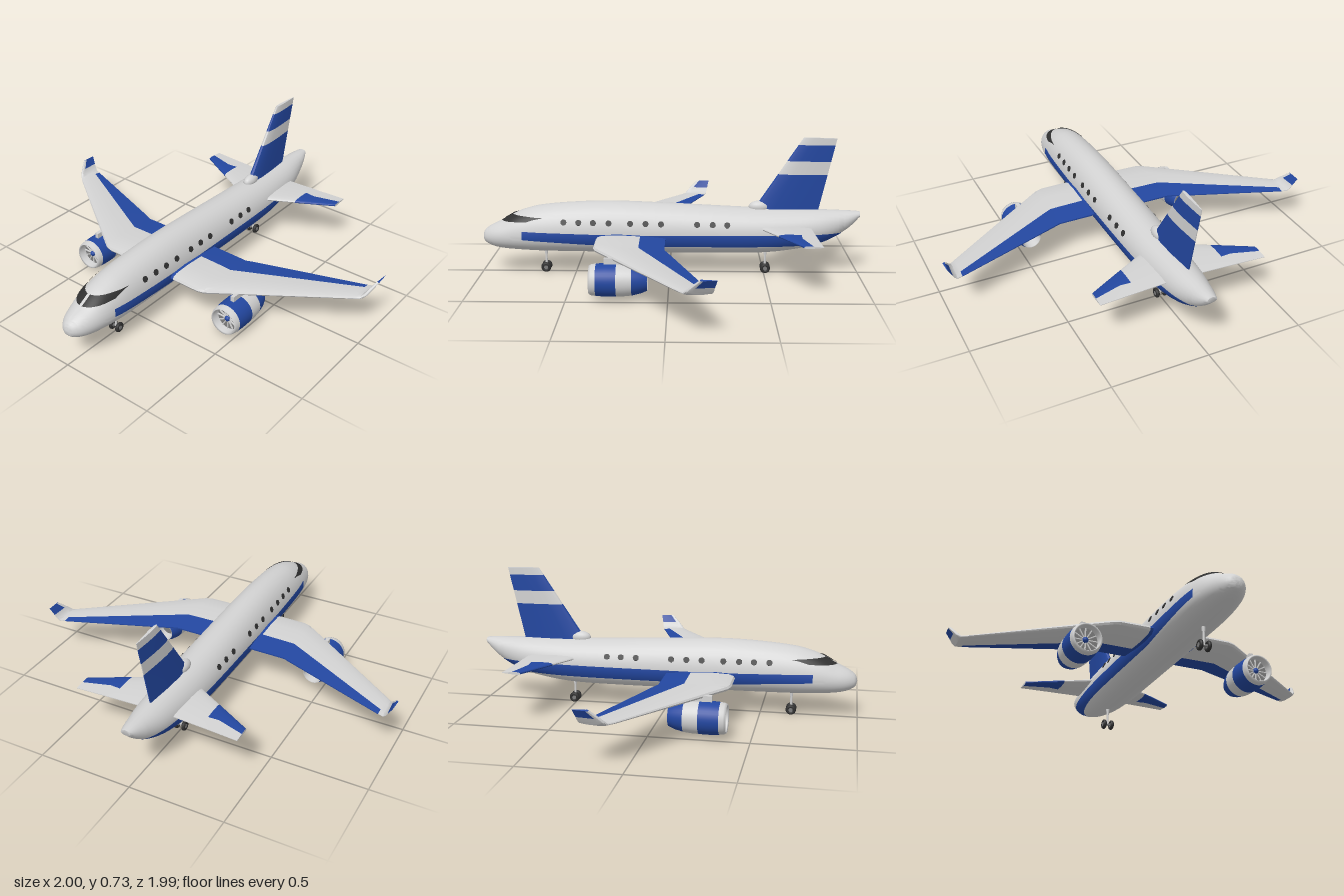
import * as THREE from 'three';
import { toCreasedNormals } from 'three/addons/utils/BufferGeometryUtils.js';

const V = (x, y, z) => new THREE.Vector3(x, y, z);
const paint = (name, color) => Object.assign(new THREE.MeshStandardMaterial({ color }), { name });

// Fuselage stations: z, top, bottom, half width, height of the widest line
const STATIONS = [
  [0.992, 0.196, 0.196, 0, 0.196], [0.985, 0.222, 0.172, 0.027, 0.197], [0.965, 0.243, 0.156, 0.05, 0.198],
  [0.93, 0.263, 0.142, 0.072, 0.2], [0.88, 0.286, 0.133, 0.09, 0.203], [0.82, 0.32, 0.128, 0.103, 0.207],
  [0.77, 0.341, 0.125, 0.11, 0.21], [0.68, 0.364, 0.121, 0.118, 0.215], [0.5, 0.381, 0.118, 0.122, 0.22],
  [0.3, 0.387, 0.116, 0.123, 0.222], [0, 0.376, 0.114, 0.123, 0.222], [-0.3, 0.361, 0.113, 0.122, 0.222],
  [-0.5, 0.353, 0.117, 0.117, 0.225], [-0.65, 0.349, 0.134, 0.106, 0.235], [-0.78, 0.346, 0.163, 0.09, 0.252],
  [-0.88, 0.343, 0.207, 0.066, 0.275], [-0.95, 0.341, 0.258, 0.045, 0.3], [-0.998, 0.337, 0.308, 0.025, 0.322],
];

// Smooth station values at z
function station(z) {
  let i = 0;
  while (i < STATIONS.length - 2 && z < STATIONS[i + 1][0]) i++;
  const a = STATIONS[i], b = STATIONS[i + 1];
  const p = STATIONS[i - 1] || a, n = STATIONS[i + 2] || b;
  const d = b[0] - a[0], t = (z - a[0]) / d;
  return a.map((v, k) => {
    const m0 = (b[k] - p[k]) / (b[0] - p[0]) * d, m1 = (n[k] - a[k]) / (n[0] - a[0]) * d;
    return (2 * t ** 3 - 3 * t * t + 1) * v + (t ** 3 - 2 * t * t + t) * m0
      + (3 * t * t - 2 * t ** 3) * b[k] + (t ** 3 - t * t) * m1;
  });
}

// Angle from the crown at which the hull has height y, and the hull point at an angle
function angleAt(s, y) {
  const h = y > s[4] ? s[1] - s[4] : s[4] - s[2];
  return Math.acos(THREE.MathUtils.clamp((y - s[4]) / Math.max(h, 1e-6), -1, 1));
}
function hull(s, a) {
  const c = Math.cos(a), h = c > 0 ? s[1] - s[4] : s[4] - s[2];
  return V(s[3] * Math.max(0, Math.sin(a)) ** (c > 0 ? 1 : 0.85), s[4] + h * c, s[0]);
}
function hullAt(z, y) {
  const s = station(z);
  return hull(s, angleAt(s, y));
}

// Skin closed loops of points; pick(i, j) gives the material of each panel
function loft(rings, pick, crease = 0.7) {
  const n = rings[0].length, pts = rings.flat(), lists = [[], []];
  const add = (m, a, b, c) => lists[m].push([a, b, c]);
  for (let i = 0; i < rings.length - 1; i++) for (let j = 0; j < n; j++) {
    const a = i * n + j, b = i * n + (j + 1) % n, m = pick(i, j);
    add(m, a, b, b + n);
    add(m, a, b + n, a + n);
  }
  const last = (rings.length - 1) * n;
  for (let j = 1; j < n - 1; j++) {
    add(pick(0, 0), 0, j + 1, j);
    add(pick(rings.length - 2, 4), last, last + j, last + j + 1);
  }
  let volume = 0;
  const cross = V(0, 0, 0);
  for (const [a, b, c] of lists.flat()) volume += pts[a].dot(cross.crossVectors(pts[b], pts[c]));
  const geo = new THREE.BufferGeometry().setFromPoints(pts);
  geo.setIndex(lists.flat().flatMap(([a, b, c]) => (volume < 0 ? [a, c, b] : [a, b, c])));
  geo.addGroup(0, lists[0].length * 3, 0);
  geo.addGroup(lists[0].length * 3, lists[1].length * 3, 1);
  return toCreasedNormals(geo, crease);
}

// Wing section; points 4 to 7 lie behind the split line
function foil(le, te, split, thick, dir) {
  const side = (k) => [[0.03, 0.5], [0.14, 0.85], [0.5, 1], [1, 0.75]]
    .map(([u, h]) => le.clone().lerp(te, u * split).addScaledVector(dir, k * h * thick / 2));
  const end = (k) => te.clone().addScaledVector(dir, k * thick * 0.08);
  return [le.clone(), ...side(1), end(1), end(-1), ...side(-1).reverse()];
}

export function createModel() {
  const model = new THREE.Group();
  model.name = 'airliner';
  const white = paint('body white', 0xd2d2d2), blue = paint('livery blue', 0x2347a0);
  const dark = paint('window and tyre black', 0x303030), metal = paint('fan grey', 0x7c7c7c);
  const glass = paint('windscreen black', 0x303030);
  glass.side = THREE.DoubleSide;
  const livery = [white, blue];
  const put = (name, geo, mat, parent = model) => {
    const mesh = new THREE.Mesh(geo, mat);
    mesh.name = name;
    parent.add(mesh);
    return mesh;
  };

  // Fuselage with the side stripe
  const zs = [];
  STATIONS.forEach((s, i) => {
    const next = STATIONS[i + 1];
    for (let k = 0; k < (next ? 4 : 1); k++) zs.push(next ? s[0] + (next[0] - s[0]) * k / 4 : s[0]);
  });
  const rings = zs.map((z) => {
    const s = station(z), t = THREE.MathUtils.clamp((0.77 - z) / 0.5, 0, 1);
    const stops = [0, angleAt(s, 0.244 - 0.013 * t), angleAt(s, 0.2 - 0.033 * t), Math.PI], half = [];
    [8, 4, 8].forEach((n, k) => {
      for (let q = 0; q < n; q++) half.push(hull(s, stops[k] + (stops[k + 1] - stops[k]) * q / n));
    });
    half.push(V(0, s[2], z));
    return [...half, ...half.slice(1, -1).reverse().map((p) => V(-p.x, p.y, p.z))];
  });
  const striped = (i, j) => (zs[i] <= 0.771 && ((j >= 8 && j < 12) || (j >= 28 && j < 32)) ? 1 : 0);
  put('fuselage', loft(rings, striped, 1), livery);

  // Tail fin with bands, and the fillet at its foot
  const finLevels = [[0.33, 0.044], [0.535, 0.03], [0.605, 0.026], [0.69, 0.02], [0.728, 0.016]];
  const fin = finLevels.map(([y, t]) => foil(V(0, y, -0.47 - (y - 0.39) * 0.662),
    V(0, y - 0.004, -0.78 - (y - 0.345) * 0.227), 0.6, t, V(1, 0, 0)));
  put('tailFin', loft(fin, (i) => (i % 2 ? 0 : 1)), livery);
  put('finFillet', new THREE.SphereGeometry(1, 20, 12).scale(0.03, 0.032, 0.055).translate(0, 0.36, -0.47), white);

  // Wing stations: x, leading z, trailing z, split z, y, thickness, tilt
  const wing = [
    [0, 0.38, 0.02, 0.15, 0.213, 0.05, 0], [0.137, 0.38, 0.02, 0.15, 0.213, 0.048, 0],
    [0.29, 0.38, 0.02, 0.15, 0.212, 0.044, 0], [0.325, 0.369, 0.02, 0.15, 0.211, 0.042, 0],
    [0.36, 0.345, 0.006, 0.132, 0.211, 0.04, 0], [0.92, -0.053, -0.196, -0.163, 0.205, 0.018, 0],
    [0.948, -0.075, -0.206, -0.17, 0.207, 0.018, 0.5], [0.963, -0.09, -0.211, -0.12, 0.222, 0.017, 1.05],
    [0.973, -0.108, -0.215, -0.13, 0.241, 0.016, 1.1], [0.995, -0.15, -0.225, -0.165, 0.28, 0.012, 1.1],
  ];
  const wingPick = (i, j) => {
    const aft = j >= 4 && j <= 6;
    return i === 0 || (i < 5 && aft) || (i === 8 && aft) ? 1 : 0;
  };
  // Tailplane stations: x, leading z, trailing z, split z, thickness
  const tail = [[0, -0.42, -0.73, -0.67, 0.03], [0.245, -0.553, -0.743, -0.67, 0.022],
    [0.3, -0.583, -0.746, -0.666, 0.019], [0.44, -0.66, -0.755, -0.706, 0.014]];

  for (const s of [1, -1]) {
    const label = s > 0 ? 'left' : 'right';
    put(label + 'Wing', loft(wing.map(([x, a, b, c, y, t, r]) => foil(V(s * x, y, a), V(s * x, y, b),
      (c - a) / (b - a), t, V(-s * Math.sin(r), Math.cos(r), 0))), wingPick), livery);
    put(label + 'Tailplane', loft(tail.map(([x, a, b, c, t]) => foil(V(s * x, 0.265, a), V(s * x, 0.265, b),
      (c - a) / (b - a), t, V(0, 1, 0))), (i, j) => (i > 0 && (j < 4 || j > 6) ? 1 : 0)), livery);

    // Cabin windows
    for (const z of [0.55, 0.472, 0.396, 0.315, 0.203, 0.123, 0.043, -0.144, -0.225, -0.3]) {
      const y = 0.289 + 0.012 * z, p = hullAt(z, y);
      const up = hullAt(z, y + 0.01).sub(hullAt(z, y - 0.01)), along = hullAt(z + 0.01, y).sub(hullAt(z - 0.01, y));
      const normal = up.cross(along).normalize();
      if (normal.x < 0) normal.negate();
      for (const v of [p, normal]) v.x *= s;
      const pane = put(label + 'CabinWindow', new THREE.CylinderGeometry(0.016, 0.016, 0.005, 10), dark);
      pane.position.copy(p);
      pane.quaternion.setFromUnitVectors(V(0, 1, 0), normal);
    }

    // Windscreen half, laid on the nose
    const screen = new THREE.PlaneGeometry(1, 1, 16, 5), pos = screen.attributes.position;
    for (let i = 0; i < pos.count; i++) {
      const u = pos.getX(i) + 0.5, x = 0.008 + 0.085 * u;
      const y = 0.3 + pos.getY(i) * (0.034 - 0.012 * u ** 4);
      let lo = 0.5, hi = 0.985;
      for (let k = 0; k < 30; k++) {
        const mid = (lo + hi) / 2;
        if (hullAt(mid, y).x > x) lo = mid; else hi = mid;
      }
      pos.setXYZ(i, s * (x + 0.003 * u), y + 0.003, lo + 0.003);
    }
    screen.computeVertexNormals();
    put(label + 'Windscreen', screen, glass);

    // Engine nacelle in painted bands
    const engine = new THREE.Group();
    engine.name = label + 'Engine';
    engine.position.set(s * 0.457, 0.102, 0);
    model.add(engine);
    const band = (name, mat, pts) => put(name, new THREE.LatheGeometry(
      pts.map(([r, z]) => new THREE.Vector2(r, z)), 36).rotateX(Math.PI / 2), mat, engine);
    band('nacelleRear', blue, [[0.052, 0.1], [0.065, 0.13], [0.076, 0.175]]);
    band('nacelleMiddle', white, [[0.076, 0.175], [0.08, 0.213], [0.0815, 0.25]]);
    band('nacelleFront', blue, [[0.0815, 0.25], [0.082, 0.3], [0.079, 0.35]]);
    band('intakeLip', white, [[0.079, 0.35], [0.076, 0.372], [0.07, 0.384], [0.065, 0.378], [0.062, 0.33]]);
    band('exhaustLining', white, [[0.042, 0.16], [0.048, 0.1], [0.052, 0.1]]);
    const disc = (name, r, z, mat) => put(name,
      new THREE.CylinderGeometry(r, r, 0.01, 32).rotateX(Math.PI / 2).translate(0, 0, z), mat, engine);
    disc('exhaustPlate', 0.045, 0.16, metal);
    disc('fanPlate', 0.064, 0.335, metal);
    for (let k = 0; k < 12; k++) {
      put('fanBlade', new THREE.BoxGeometry(0.005, 0.05, 0.008).translate(0, 0.036, 0.343)
        .rotateZ(k * Math.PI / 6), white, engine);
    }
    put('fanHub', new THREE.SphereGeometry(0.015, 16, 10).translate(0, 0, 0.345), blue, engine);
    put('pylon', new THREE.BoxGeometry(0.02, 0.04, 0.18).translate(0, 0.09, 0.22), white, engine);
  }

  // Nose and rear landing gear, each with twin wheels
  for (const [name, z] of [['noseGear', 0.66], ['rearGear', -0.508]]) {
    const gear = new THREE.Group();
    gear.name = name;
    gear.position.z = z;
    model.add(gear);
    put('strut', new THREE.CylinderGeometry(0.006, 0.006, 0.11, 12).translate(0, 0.08, 0), white, gear);
    put('strutCollar', new THREE.CylinderGeometry(0.01, 0.008, 0.03, 12).translate(0, 0.112, 0), white, gear);
    put('axle', new THREE.CylinderGeometry(0.006, 0.006, 0.05, 10).rotateZ(Math.PI / 2).translate(0, 0.027, 0), metal, gear);
    for (const s of [1, -1]) {
      put('tyre', new THREE.TorusGeometry(0.0175, 0.0095, 10, 24).rotateY(Math.PI / 2)
        .translate(s * 0.021, 0.027, 0), dark, gear);
      put('wheelHub', new THREE.CylinderGeometry(0.011, 0.011, 0.016, 16).rotateZ(Math.PI / 2)
        .translate(s * 0.021, 0.027, 0), metal, gear);
    }
  }
  return model;
}
